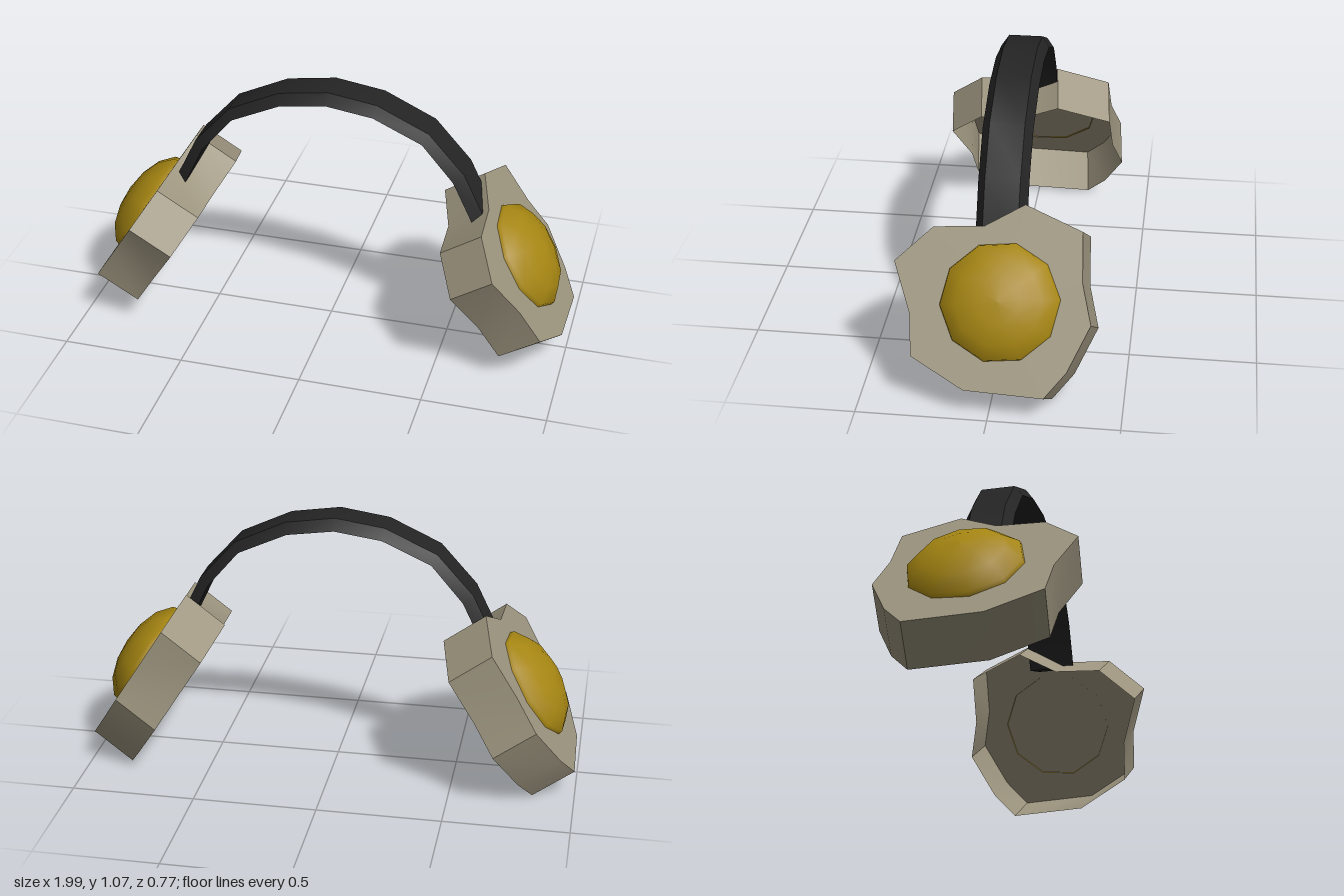
import * as THREE from 'three';
import { toCreasedNormals } from 'three/addons/utils/BufferGeometryUtils.js';

// Solid from a list of triangles, smooth below the crease angle
function fromTriangles(tris, crease) {
  const g = new THREE.BufferGeometry();
  g.setAttribute('position', new THREE.Float32BufferAttribute(tris.flat(2), 3));
  return toCreasedNormals(g, crease);
}

function addQuad(tris, a, b, c, d) {
  tris.push([a, b, c], [a, c, d]);
}

// Mirror across x, swapping corners so faces still point outward
function mirrored(geometry) {
  const g = geometry.index ? geometry.toNonIndexed() : geometry.clone();
  for (const name of ['position', 'normal']) {
    const src = g.getAttribute(name).array, out = src.slice();
    for (let i = 0; i < src.length; i += 9) {
      [0, 6, 3].forEach((from, k) => {
        out[i + k * 3] = -src[i + from];
        out[i + k * 3 + 1] = src[i + from + 1];
        out[i + k * 3 + 2] = src[i + from + 2];
      });
    }
    g.setAttribute(name, new THREE.BufferAttribute(out, 3));
  }
  return g;
}

// Hollow cup: irregular slanted plate with a wall running inward, open inside
function cupGeometry() {
  const outline = [ // z, y on the slanted plate
    [0.24, 0.63], [0.38, 0.515], [0.31, 0.355], [0.295, 0.22],
    [0.09, 0.125], [-0.21, 0.115], [-0.29, 0.2], [-0.37, 0.35],
    [-0.33, 0.48], [-0.32, 0.64], [-0.1, 0.715], [0.05, 0.64],
  ];
  const onPlate = (z, y) => [0.995 - 0.643 * (y - 0.115), y, z];
  const outer = outline.map(([z, y]) => onPlate(z, y));
  const rim = outer.map(([x, y, z]) => [x - 0.163, y - 0.113, z - 0.018]);
  const centre = onPlate(-0.02, 0.4);
  const tris = [];
  outer.forEach((p, i) => {
    const j = (i + 1) % outer.length;
    tris.push([centre, p, outer[j]]);
    addQuad(tris, p, rim[i], rim[j], outer[j]);
  });
  return fromTriangles(tris, 0.6);
}

// Low ten-sided dome on the plate
function domeGeometry() {
  const profile = [[0.228, -0.004], [0.223, 0.018], [0.165, 0.065], [0.085, 0.092], [0, 0.1]]
    .map(([r, h]) => new THREE.Vector2(r, h));
  const g = new THREE.LatheGeometry(profile, 10, 0.1);
  g.rotateZ(-1.0);
  g.translate(0.808, 0.405, -0.027);
  return g;
}

// Headband: trapezoid section swept over the arch
function bandGeometry() {
  const half = [ // outer x, y, inner x, y
    [0, 1.075, 0, 1.03], [0.2, 1.045, 0.19, 1.003], [0.408, 0.948, 0.388, 0.913],
    [0.555, 0.785, 0.517, 0.762], [0.645, 0.6, 0.6, 0.59],
  ];
  const path = [
    ...half.slice(1).reverse().map(([a, b, c, d]) => [-a, b, -c, d]),
    ...half,
  ];
  const z = -0.007;
  const sections = path.map(([ox, oy, ix, iy]) => [
    [ox, oy, z + 0.067], [ox, oy, z - 0.067], [ix, iy, z - 0.097], [ix, iy, z + 0.097],
  ]);
  const tris = [];
  for (let i = 0; i < sections.length - 1; i++) {
    const a = sections[i], b = sections[i + 1];
    for (let k = 0; k < 4; k++) {
      const n = (k + 1) % 4;
      addQuad(tris, a[k], b[k], b[n], a[n]);
    }
  }
  addQuad(tris, ...sections[0]);
  addQuad(tris, ...[...sections[sections.length - 1]].reverse());
  return fromTriangles(tris, 0.45);
}

export function createModel() {
  const material = (name, color, side = THREE.FrontSide) => {
    const m = new THREE.MeshStandardMaterial({ color, side });
    m.name = name;
    return m;
  };
  const grey = material('warm grey', 0x9c947e, THREE.DoubleSide);
  const gold = material('dark gold', 0xa58512, THREE.DoubleSide);
  const black = material('soft black', 0x242424);

  const model = new THREE.Group();
  model.name = 'earmuffs';
  const add = (name, geometry, mat, parent) => {
    const mesh = new THREE.Mesh(geometry, mat);
    mesh.name = name;
    parent.add(mesh);
  };

  add('headband', bandGeometry(), black, model);

  // Matching ear cups
  const cup = cupGeometry(), dome = domeGeometry();
  for (const side of ['left', 'right']) {
    const ear = new THREE.Group();
    ear.name = side + 'EarCup';
    const place = side === 'left' ? (g) => g : mirrored;
    add(side + 'CupShell', place(cup), grey, ear);
    add(side + 'CupDome', place(dome), gold, ear);
    model.add(ear);
  }
  return model;
}
